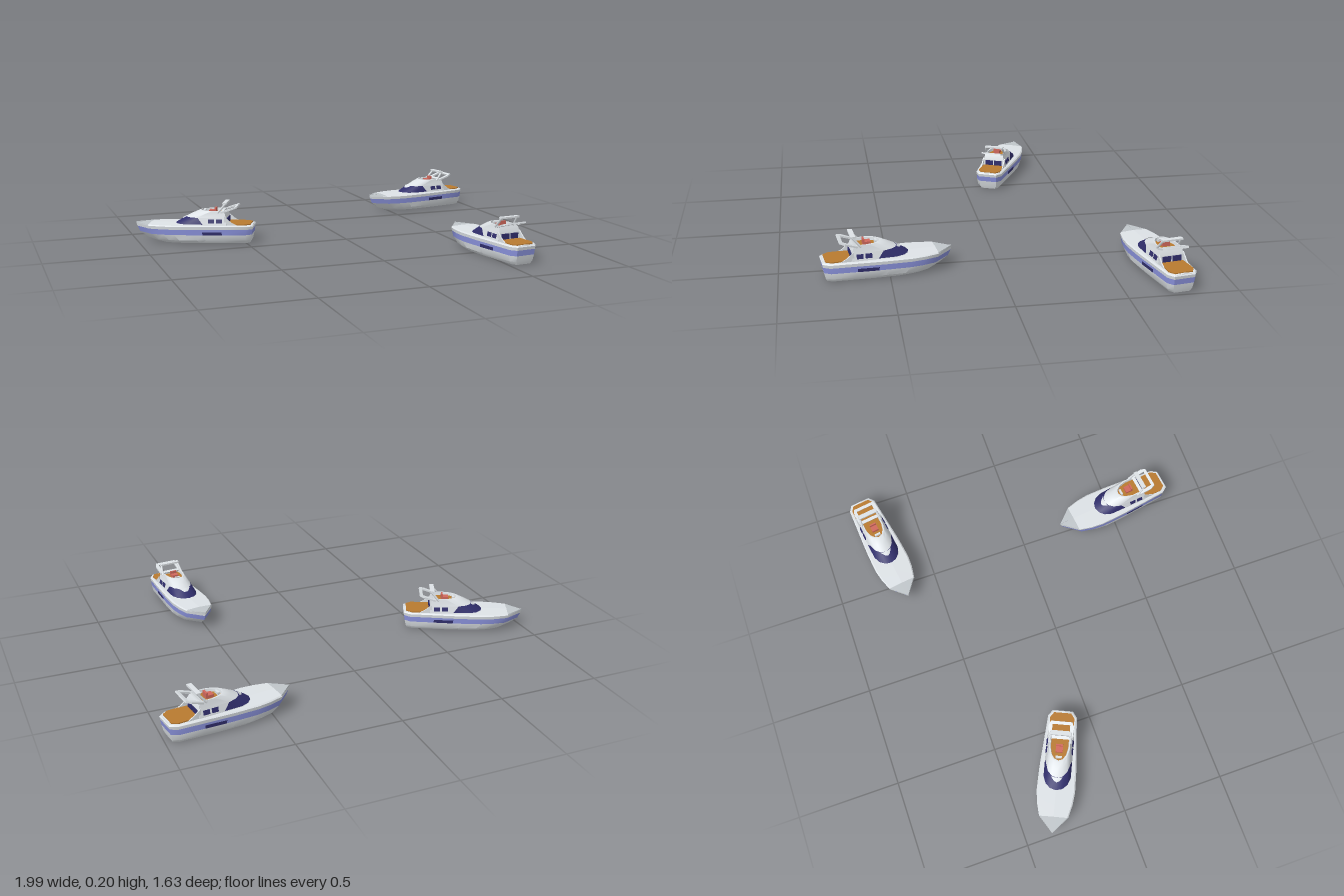
import * as THREE from 'three';
import { toCreasedNormals } from 'three/addons/utils/BufferGeometryUtils.js';

const mat = (name, color) => {
  const m = new THREE.MeshStandardMaterial({ color, side: THREE.DoubleSide });
  m.name = name;
  return m;
};

// Surface through rows of points, ordered from the lowest row to the highest
function loft(rows, closed = false) {
  const pos = [];
  const tri = (a, b, c) => {
    const n = b.clone().sub(a).cross(c.clone().sub(a));
    if (n.length() > 1e-9) for (const p of [a, b, c]) pos.push(p.x, p.y, p.z);
  };
  for (let r = 0; r < rows.length - 1; r++) {
    const A = rows[r], B = rows[r + 1], n = A.length;
    for (let i = 0; i < (closed ? n : n - 1); i++) {
      const j = (i + 1) % n;
      tri(A[i], B[i], A[j]);
      tri(A[j], B[i], B[j]);
    }
  }
  const g = new THREE.BufferGeometry();
  g.setAttribute('position', new THREE.Float32BufferAttribute(pos, 3));
  return toCreasedNormals(g, 0.6);
}

// Path from port stern round the bow to starboard stern
const mirrored = half => [
  ...half.slice(1).reverse().map(p => new THREE.Vector3(-p.x, p.y, p.z)), ...half];

// Hull plan: [z, half width], bow at -z
const PLAN = [[-.302, 0], [-.224, .07], [-.16, .086], [-.10, .093], [0, .0905],
  [.05, .0875], [.15, .08], [.272, .071], [.302, .05]];
const BOW = PLAN.length - 1;
const hullRow = (y, k, bow = -.302, stern = .302) => mirrored(PLAN.map(([z, w]) =>
  new THREE.Vector3(w * k, y, THREE.MathUtils.mapLinear(z, -.302, .302, bow, stern))));

// Cabin plan: rounded nose at z0, straight sides back to z1
const cabinRow = (y, w, z0, zMid, z1) => mirrored([[0, z0], [.45 * w, z0 + .008],
  [.8 * w, z0 + .03], [w, z0 + .065], [w, Math.max(zMid, z0 + .066)], [w, z1]]
  .map(([x, z]) => new THREE.Vector3(x, y, z)));

function createBoat(m) {
  const boat = new THREE.Group();
  const add = (name, geo, material, x = 0, y = 0, z = 0) => {
    const mesh = new THREE.Mesh(geo, material);
    mesh.name = name;
    mesh.position.set(x, y, z);
    boat.add(mesh);
    return mesh;
  };
  const box = (name, w, h, d, material, x, y, z) =>
    add(name, new THREE.BoxGeometry(w, h, d), material, x, y, z);
  const bar = (name, a, b, r, material) => add(name,
    new THREE.TubeGeometry(new THREE.LineCurve3(new THREE.Vector3(...a), new THREE.Vector3(...b)), 1, r, 6),
    material);

  // Hull bands
  const keel = hullRow(0, 0, -.2, .283), bottom = hullRow(0, .72, -.2, .283);
  const chine = hullRow(.016, .9, -.245, .289);
  const stripeLow = hullRow(.044, .96, -.284, .295), stripeTop = hullRow(.071, .98, -.297, .299);
  const sheer = hullRow(.086, 1);
  add('hullBottom', loft([keel, bottom, chine, stripeLow], true), m.white);
  add('hullStripe', loft([stripeLow, stripeTop], true), m.blue);
  add('hullTopside', loft([stripeTop, sheer], true), m.white);

  // Deck with a grey bow plate
  const deck = [sheer, hullRow(.091, .93, -.302, .298), hullRow(.094, 0, -.302, .298)];
  add('deckPort', loft(deck.map(r => r.slice(0, BOW))), m.white);
  add('deckStarboard', loft(deck.map(r => r.slice(BOW + 1))), m.white);
  add('deckStern', loft(deck.map(r => [r.at(-1), r[0]])), m.white);
  add('bowPlate', loft(deck.map(r => r.slice(BOW - 1, BOW + 2))), m.grey);

  // Hull windows
  const port = [hullRow(.044, .972, -.284, .295), hullRow(.06, .984, -.293, .297)];
  for (const i of [BOW - 6, BOW + 5])
    add('hullWindow', loft(port.map(r => r.slice(i, i + 2))), m.navy);

  // Aft cockpit floor
  const floor = new THREE.Shape();
  [[-.058, -.16], [.058, -.16], [.06, -.262], [.042, -.288], [-.042, -.288], [-.06, -.262]]
    .forEach(([x, y], i) => i ? floor.lineTo(x, y) : floor.moveTo(x, y));
  add('cockpitFloor', new THREE.ExtrudeGeometry(floor, { depth: .005, bevelEnabled: false })
    .rotateX(-Math.PI / 2), m.teak, 0, .092, 0);

  // Cabin: wraparound windscreen, walls and flybridge coaming
  const c0 = cabinRow(.088, .067, -.105, .056, .17), c1 = cabinRow(.094, .066, -.097, .05, .17);
  const c2 = cabinRow(.127, .058, -.043, .025, .168), c3 = cabinRow(.146, .053, -.005, .06, .162);
  const c4 = cabinRow(.16, .05, .026, .1, .155), c5 = cabinRow(.16, .044, .034, .1, .148);
  const well = cabinRow(.146, .042, .036, .1, .146), wellMid = cabinRow(.146, 0, .036, .1, .146);
  const n = c1.length;
  add('cabinBase', loft([c0, c1], true), m.white);
  add('windscreen', loft([c1, c2].map(r => r.slice(1, n - 1))), m.navy);
  add('cabinPort', loft([c1, c2].map(r => r.slice(0, 2))), m.white);
  add('cabinStarboard', loft([c1, c2].map(r => r.slice(n - 2))), m.white);
  add('cabinBack', loft([c1, c2].map(r => [r[n - 1], r[0]])), m.white);
  add('flybridge', loft([c2, c3, c4, c5, well], true), m.white);
  add('flybridgeFloor', loft([well, wellMid], true), m.teak);

  // White brow over the centre of the windscreen
  const brow = [[.072, -.06, .012], [.127, -.04, .03]];
  const browRows = brow.map(([, z, x], i) => [-1, 0, 1].map(s =>
    new THREE.Vector3(s * x, i ? .129 : .117, z - .004 + Math.abs(s) * .006)));
  add('windscreenBrow', loft(browRows), m.white);

  // Cabin side windows and rear doors
  for (const s of [-1, 1]) {
    for (const z of [.094, .134])
      box('sideWindow', .004, .021, .03, m.navy, s * .0625, .111, z).rotation.z = s * .235;
    box('rearDoor', .042, .026, .004, m.navy, s * .025, .111, .1705);
  }

  // Flybridge seat and helm
  box('seatBase', .034, .014, .032, m.red, 0, .153, .092);
  box('seatBack', .034, .026, .008, m.red, 0, .16, .108);
  box('helm', .03, .014, .01, m.white, 0, .153, .052);

  // Swept spoiler frame behind the flybridge
  const frame = new THREE.Shape();
  [[-.058, 0], [.058, 0], [.062, -.06], [.052, -.085], [-.052, -.085], [-.062, -.06]]
    .forEach(([x, y], i) => i ? frame.lineTo(x, y) : frame.moveTo(x, y));
  const hole = new THREE.Path();
  [[-.043, -.016], [-.043, -.07], [.043, -.07], [.043, -.016]]
    .forEach(([x, y], i) => i ? hole.lineTo(x, y) : hole.moveTo(x, y));
  frame.holes.push(hole);
  add('spoilerFrame', new THREE.ExtrudeGeometry(frame, { depth: .008, bevelEnabled: false })
    .rotateX(-Math.PI / 2 - .33), m.white, 0, .15, .143);

  // Radar arch and cockpit side wings
  const wing = new THREE.Shape();
  [[-.16, .09], [-.225, .09], [-.195, .105], [-.16, .135]]
    .forEach(([x, y], i) => i ? wing.lineTo(x, y) : wing.moveTo(x, y));
  for (const s of [-1, 1]) {
    bar('archLeg', [s * .053, .152, .125], [s * .045, .199, .165], .006, m.white);
    add('cockpitWing', new THREE.ExtrudeGeometry(wing, { depth: .006, bevelEnabled: false })
      .rotateY(Math.PI / 2), m.white, s * .06 - .003, 0, 0);
  }
  box('archTop', .1, .008, .022, m.white, 0, .199, .16);
  return boat;
}

export function createModel() {
  const m = {
    white: mat('white', 0xdde2e6), grey: mat('bowGrey', 0xc0c6ca), blue: mat('stripeBlue', 0x8a92dc),
    navy: mat('navyGlass', 0x302e6c), teak: mat('teak', 0xb87a30), red: mat('seatRed', 0xd0685c),
  };
  const model = new THREE.Group();
  model.name = 'yachts';
  // Three yachts: x, z, heading
  [[-.7225, -.248, 1.14], [.692, -.7065, 1.715], [.543, .507, .115]].forEach(([x, z, turn], i) => {
    const boat = createBoat(m);
    boat.name = 'yacht' + (i + 1);
    boat.position.set(x, 0, z);
    boat.rotation.y = turn;
    model.add(boat);
  });
  return model;
}
